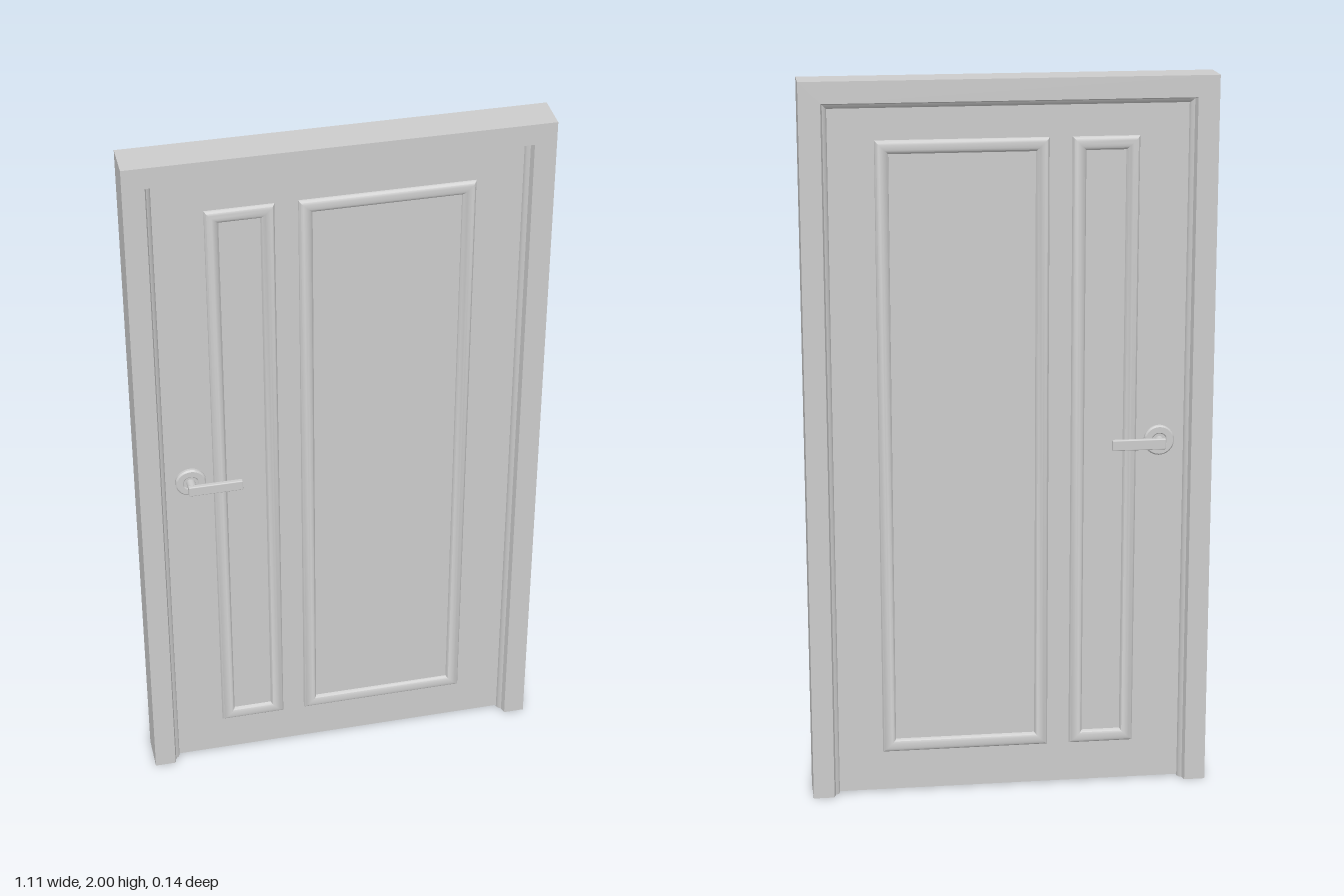
import * as THREE from 'three';
import { toCreasedNormals } from 'three/addons/utils/BufferGeometryUtils.js';
import { RoundedBoxGeometry } from 'three/addons/geometries/RoundedBoxGeometry.js';

const material = new THREE.MeshStandardMaterial({ color: 0xcccccc });
const LEAF = { halfWidth: 0.48, top: 1.925, halfDepth: 0.02 };

function addMesh(parent, name, geometry, x = 0, y = 0, z = 0) {
  const mesh = new THREE.Mesh(geometry, material);
  mesh.name = name;
  mesh.position.set(x, y, z);
  parent.add(mesh);
  return mesh;
}

// Mitred sweep: corners are [x, y, outwardX, outwardY], running clockwise;
// profile points are [distance outward, z]. Optional centre caps the open ends.
function mitredSweep(corners, profile, closedPath, capCentre) {
  const pos = [];
  const at = ([x, y, ox, oy], [u, z]) => [x + ox * u, y + oy * u, z];
  const tri = (...points) => points.forEach((p) => pos.push(...p));
  const segments = closedPath ? corners.length : corners.length - 1;
  const sides = capCentre ? profile.length : profile.length - 1;
  const last = corners[corners.length - 1];
  for (let j = 0; j < sides; j++) {
    const p = profile[j], q = profile[(j + 1) % profile.length];
    for (let i = 0; i < segments; i++) {
      const a = corners[i], b = corners[(i + 1) % corners.length];
      tri(at(a, p), at(b, p), at(b, q));
      tri(at(a, p), at(b, q), at(a, q));
    }
    if (capCentre) {
      tri(at(corners[0], capCentre), at(corners[0], p), at(corners[0], q));
      tri(at(last, capCentre), at(last, q), at(last, p));
    }
  }
  const geometry = new THREE.BufferGeometry();
  geometry.setAttribute('position', new THREE.Float32BufferAttribute(pos, 3));
  return toCreasedNormals(geometry, 0.7);
}

// Jambs and head in one mitred piece, with a stepped reveal on both faces
function frameGeometry() {
  const w = LEAF.halfWidth, t = LEAF.top;
  const front = [[0, 0.02], [0.004, 0.029], [0.012, 0.034], [0.017, 0.052], [0.075, 0.052]];
  const back = front.map(([u, z]) => [u, -z]).reverse();
  const corners = [[-w, 0, -1, 0], [-w, t, -1, 1], [w, t, 1, 1], [w, 0, 1, 0]];
  return mitredSweep(corners, [...front, ...back], false, [0.045, 0]);
}

// Rounded raised moulding around a rectangular panel
function mouldingGeometry(x0, x1, y0, y1) {
  const width = 0.037, height = 0.012, steps = 8;
  const profile = [];
  for (let i = 0; i <= steps; i++) {
    const a = Math.PI * (1 - i / steps);
    profile.push([width / 2 * (1 + Math.cos(a)), height * Math.sin(a)]);
  }
  const corners = [[x0, y0, -1, -1], [x0, y1, -1, 1], [x1, y1, 1, 1], [x1, y0, 1, -1]];
  return mitredSweep(corners, profile, true);
}

// Rosette, neck and lever, pointing along dir
function createHandle(dir) {
  const handle = new THREE.Group();
  handle.name = 'handle';
  const rosette = new THREE.LatheGeometry([
    [0.042, 0], [0.042, 0.007], [0.038, 0.011], [0.022, 0.011], [0.019, 0.008], [0, 0.008],
  ].map(([r, y]) => new THREE.Vector2(r, y)), 32);
  rosette.rotateX(Math.PI / 2);
  addMesh(handle, 'rosette', toCreasedNormals(rosette, 0.5));
  const neck = new THREE.CylinderGeometry(0.012, 0.012, 0.042, 20);
  neck.rotateX(Math.PI / 2);
  addMesh(handle, 'neck', neck, 0, 0, 0.021);
  addMesh(handle, 'lever', new RoundedBoxGeometry(0.148, 0.03, 0.013, 2, 0.003), dir * 0.062, 0, 0.0435);
  return handle;
}

// Mouldings and handle of one face of the leaf; s = 1 front, -1 back
function createFace(s) {
  const face = new THREE.Group();
  face.name = s > 0 ? 'frontFace' : 'backFace';
  const panels = [['narrowPanelMoulding', -0.312, -0.205], ['widePanelMoulding', -0.07, 0.32]];
  for (const [name, a, b] of panels) {
    const x0 = Math.min(a * s, b * s), x1 = Math.max(a * s, b * s);
    addMesh(face, name, mouldingGeometry(x0, x1, 0.155, 1.803), 0, 0, LEAF.halfDepth);
  }
  const handle = createHandle(s);
  handle.position.set(-0.412 * s, 1, LEAF.halfDepth);
  face.add(handle);
  if (s < 0) face.rotation.y = Math.PI;
  return face;
}

export function createModel() {
  const door = new THREE.Group();
  door.name = 'door';
  addMesh(door, 'frame', frameGeometry());
  const gap = 0.004;
  const height = LEAF.top - gap;
  addMesh(door, 'leaf',
    new THREE.BoxGeometry(LEAF.halfWidth * 2, height, LEAF.halfDepth * 2), 0, gap + height / 2, 0);
  for (const s of [1, -1]) door.add(createFace(s));
  return door;
}
